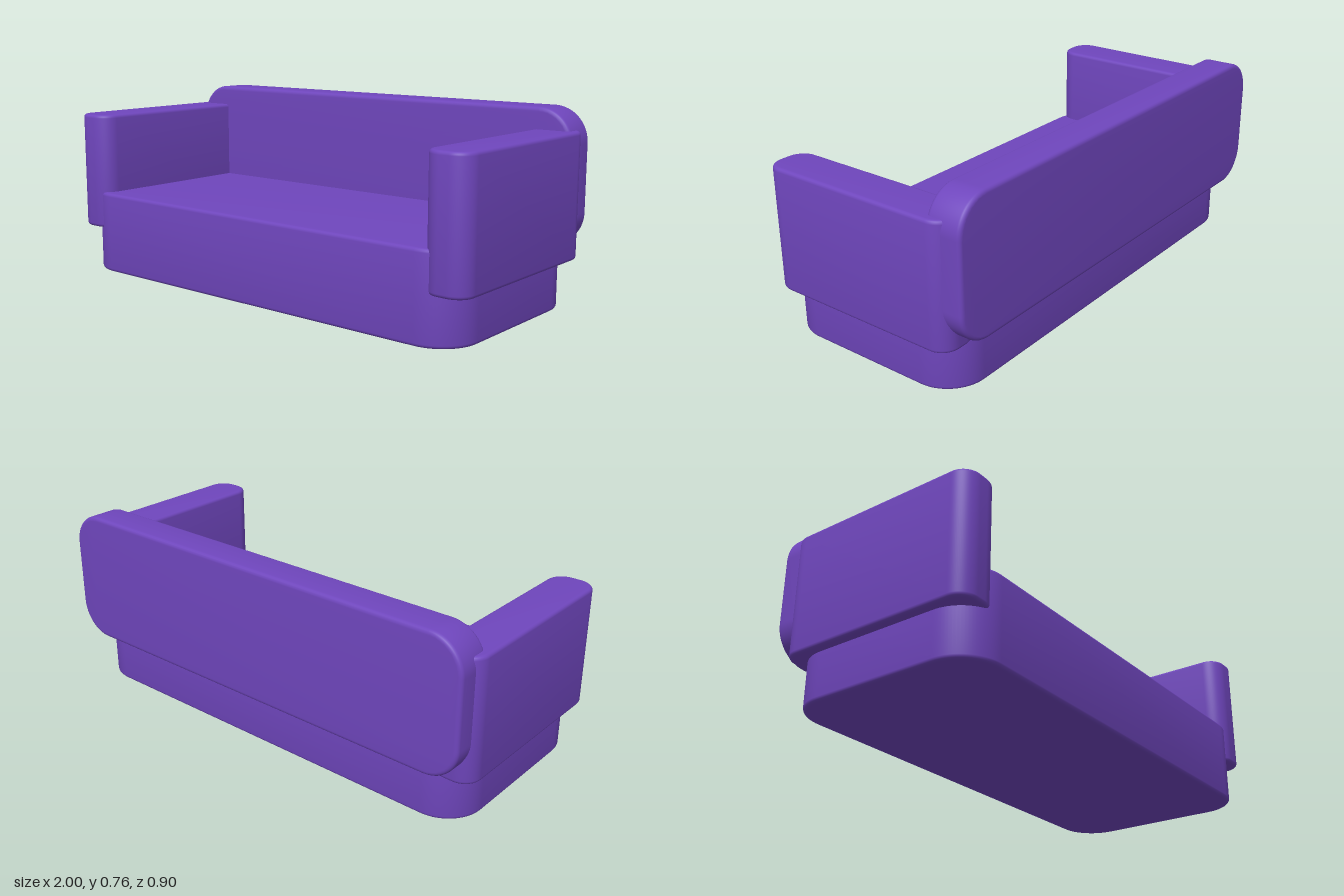
import * as THREE from 'three';

const material = new THREE.MeshStandardMaterial({ color: 0x6f46bd });

// Rounded rectangle centred on the origin
function roundedRect(w, h, r) {
  const x = w / 2, y = h / 2, s = new THREE.Shape();
  s.moveTo(-x + r, -y);
  s.lineTo(x - r, -y);
  s.absarc(x - r, -y + r, r, -Math.PI / 2, 0);
  s.lineTo(x, y - r);
  s.absarc(x - r, y - r, r, 0, Math.PI / 2);
  s.lineTo(-x + r, y);
  s.absarc(-x + r, y - r, r, Math.PI / 2, Math.PI);
  s.lineTo(-x, -y + r);
  s.absarc(-x + r, -y + r, r, Math.PI, Math.PI * 1.5);
  return s;
}

// Smooth normals: average the face normals that lie within 35 degrees
function smooth(geometry) {
  const g = geometry.index ? geometry.toNonIndexed() : geometry;
  g.computeVertexNormals();
  const p = g.attributes.position, n = g.attributes.normal;
  const shared = new Map();
  const face = [];
  const key = i => [p.getX(i), p.getY(i), p.getZ(i)].map(v => Math.round(v * 1e4)).join();
  for (let i = 0; i < p.count; i++) {
    face.push(new THREE.Vector3().fromBufferAttribute(n, i));
    const k = key(i);
    if (!shared.has(k)) shared.set(k, []);
    shared.get(k).push(i);
  }
  for (const list of shared.values()) {
    for (const i of list) {
      const sum = new THREE.Vector3();
      for (const j of list) if (face[i].dot(face[j]) > 0.82) sum.add(face[j]);
      sum.normalize();
      n.setXYZ(i, sum.x, sum.y, sum.z);
    }
  }
  return g;
}

// Cushion slab of outer size w x h x depth, extruded along z, with softened rims
function slab(name, w, h, depth, radius, bevel) {
  const shape = roundedRect(w - 2 * bevel, h - 2 * bevel, radius - bevel);
  const geometry = new THREE.ExtrudeGeometry(shape, {
    depth: depth - 2 * bevel, bevelEnabled: true, bevelThickness: bevel,
    bevelSize: bevel, bevelSegments: 4, curveSegments: 10,
  });
  geometry.translate(0, 0, bevel - depth / 2);
  const mesh = new THREE.Mesh(smooth(geometry), material);
  mesh.name = name;
  return mesh;
}

export function createModel() {
  const sofa = new THREE.Group();
  sofa.name = 'sofa';

  // Seat block, rounded in plan
  const seat = slab('seat', 1.92, 0.84, 0.345, 0.16, 0.014);
  seat.rotation.x = -Math.PI / 2;
  seat.position.set(0, 0.1725, 0.03);
  sofa.add(seat);

  // Armrests, rounded in plan
  for (const side of [-1, 1]) {
    const arm = slab(side > 0 ? 'leftArm' : 'rightArm', 0.18, 0.84, 0.492, 0.072, 0.014);
    arm.rotation.x = -Math.PI / 2;
    arm.position.set(side * 0.91, 0.434, 0.03);
    sofa.add(arm);
  }

  // Backrest, rounded in elevation
  const back = slab('backrest', 1.96, 0.55, 0.148, 0.14, 0.016);
  back.position.set(0, 0.49, -0.375);
  sofa.add(back);

  return sofa;
}
